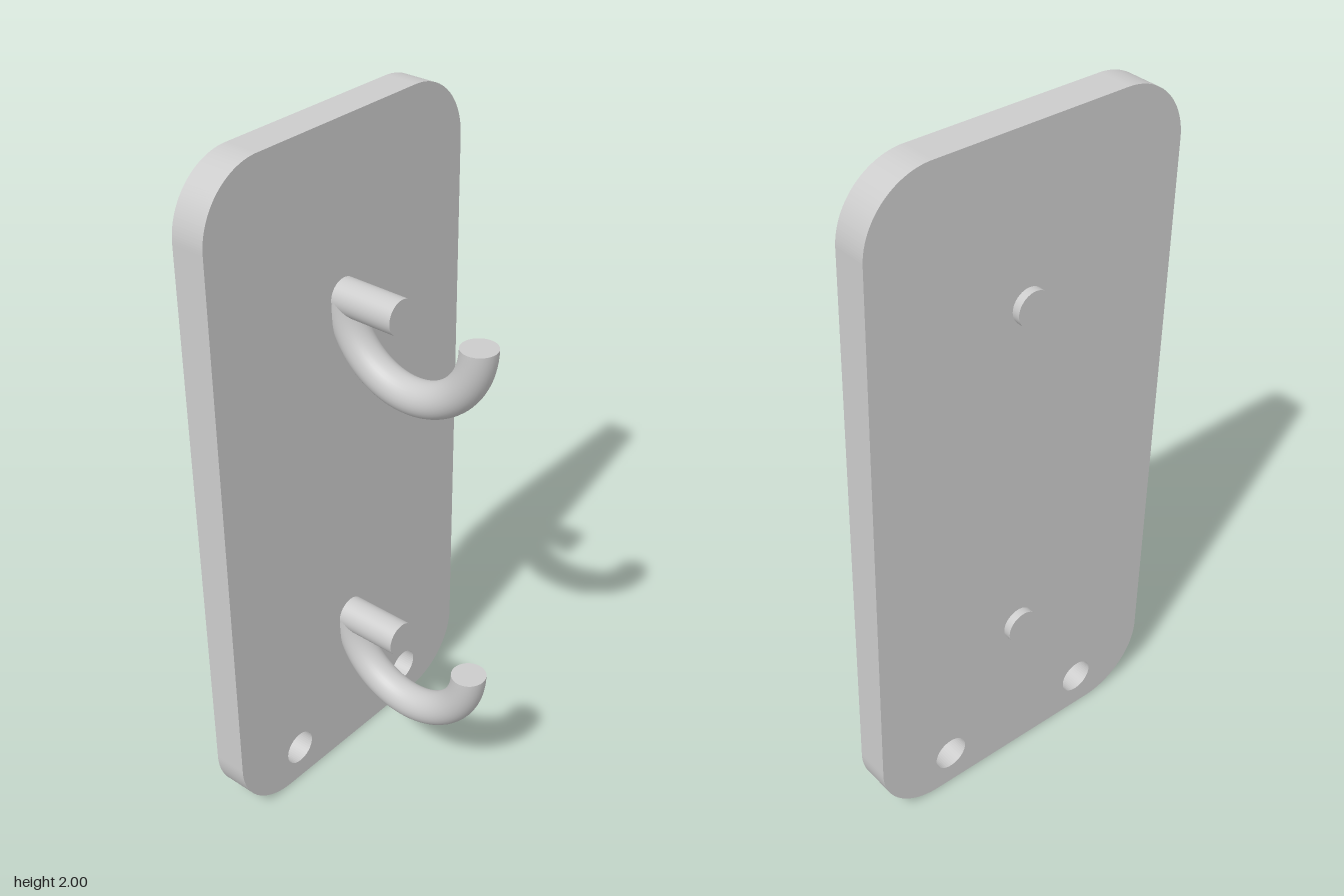
import * as THREE from 'three';

const material = new THREE.MeshStandardMaterial({ color: 0xcccccc });
const ROD = 0.05; // rod radius shared by pins and hooks

function add(parent, name, geometry) {
  const mesh = new THREE.Mesh(geometry, material);
  mesh.name = name;
  parent.add(mesh);
  return mesh;
}

// Rounded backing plate with two screw holes near the bottom
function plateGeometry() {
  const w = 0.477, h = 2, r = 0.19;
  const shape = new THREE.Shape();
  shape.absarc(w - r, r, r, -Math.PI / 2, 0);
  shape.absarc(w - r, h - r, r, 0, Math.PI / 2);
  shape.absarc(-w + r, h - r, r, Math.PI / 2, Math.PI);
  shape.absarc(-w + r, r, r, Math.PI, Math.PI * 1.5);
  shape.closePath();
  for (const x of [-0.24, 0.24]) {
    const hole = new THREE.Path();
    hole.absarc(x, 0.113, 0.052, 0, Math.PI * 2, true);
    shape.holes.push(hole);
  }
  return new THREE.ExtrudeGeometry(shape, { depth: 0.1, bevelEnabled: false, curveSegments: 24 })
    .translate(0, 0, -0.281);
}

// Straight pin through the plate plus a half-ring hook below it
function createHook(y) {
  const hook = new THREE.Group();
  hook.name = 'hook';
  hook.position.y = y;

  const back = -0.304, front = 0.012;
  add(hook, 'pin', new THREE.CylinderGeometry(ROD, ROD, front - back, 40).rotateX(Math.PI / 2))
    .position.z = (front + back) / 2;

  const bend = 0.214, centreZ = 0.041;
  add(hook, 'hookBend', new THREE.TorusGeometry(bend, ROD, 32, 48, Math.PI)
    .rotateZ(Math.PI).rotateY(Math.PI / 2)).position.z = centreZ;

  // Flat ends of the bend
  for (const side of [-1, 1]) {
    add(hook, 'hookEnd', new THREE.CircleGeometry(ROD, 32).rotateX(-Math.PI / 2))
      .position.z = centreZ + side * bend;
  }
  return hook;
}

export function createModel() {
  const model = new THREE.Group();
  model.name = 'hookPlate';
  add(model, 'plate', plateGeometry());
  for (const y of [0.48, 1.523]) model.add(createHook(y));
  return model;
}
